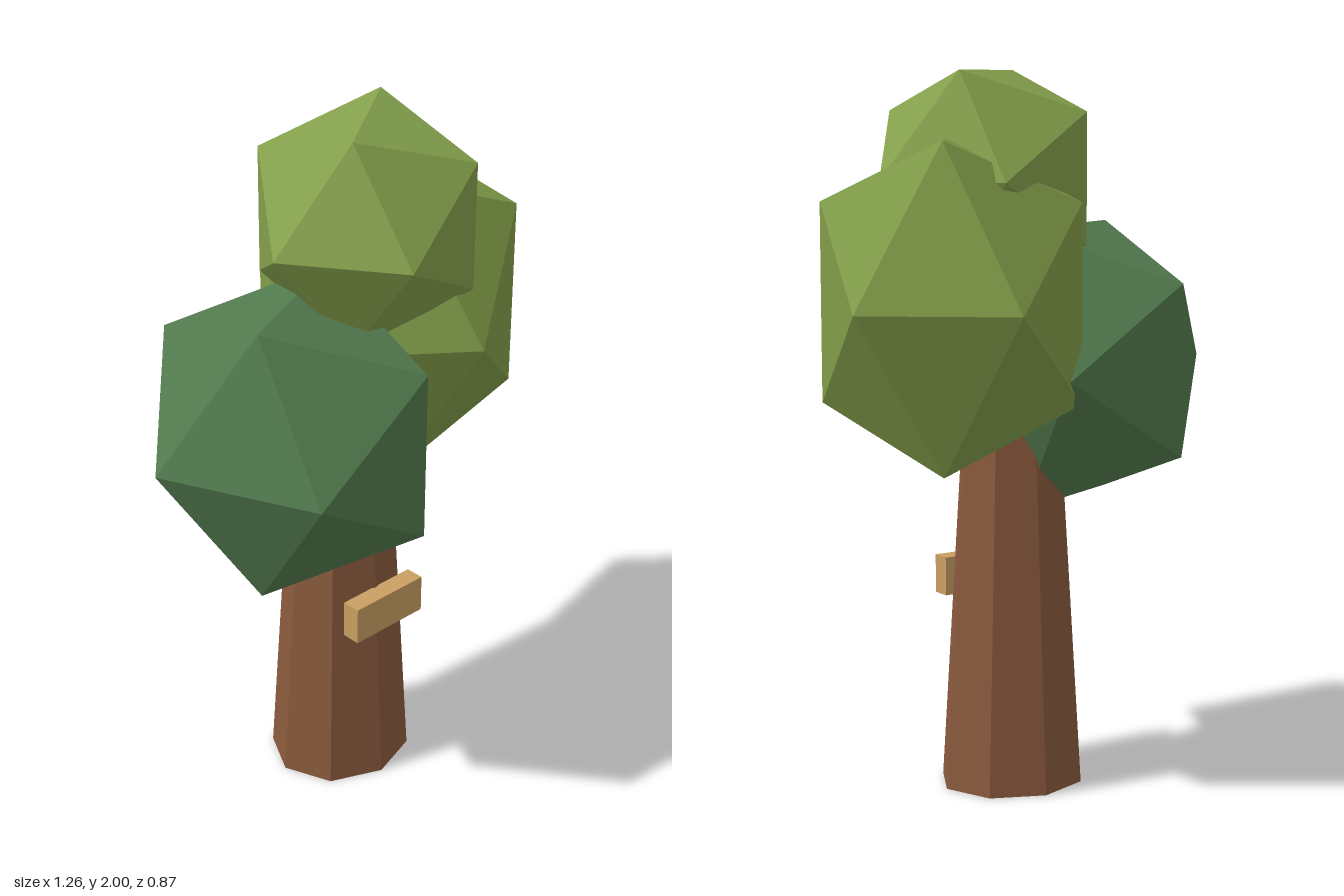
import * as THREE from 'three';

const paint = (name, color) => {
  const m = new THREE.MeshStandardMaterial({ color, flatShading: true });
  m.name = name;
  return m;
};

export function createModel() {
  const tree = new THREE.Group();
  tree.name = 'tree';

  const bark = paint('bark brown', 0x8a5a3d);
  const plank = paint('plank tan', 0xc9a063);
  const darkGreen = paint('dark green', 0x527a4e);
  const olive = paint('olive green', 0x819c49);
  const lightOlive = paint('light olive green', 0x84a04c);

  const add = (name, geometry, material, position, turn = 0, scale = [1, 1, 1]) => {
    const mesh = new THREE.Mesh(geometry, material);
    mesh.name = name;
    mesh.position.set(...position);
    mesh.rotation.y = turn;
    mesh.scale.set(...scale);
    tree.add(mesh);
  };

  // Tapered eight-sided trunk, its top hidden in the leaves
  add('trunk', new THREE.CylinderGeometry(0.128, 0.2, 1.2, 8), bark,
    [0.015, 0.6, 0.0225], -0.05, [1.055, 1, 0.955]);

  // Small board fixed to the front of the trunk
  add('signBoard', new THREE.BoxGeometry(0.25, 0.11, 0.055), plank, [0.015, 0.575, 0.2]);

  // Leaf clumps: stretched icosahedra, each turned about the vertical
  const leaf = new THREE.IcosahedronGeometry(1, 0);
  add('lowerLeaves', leaf, darkGreen, [-0.2025, 1.178, 0.0725], 0.43, [0.427, 0.461, 0.442]);
  add('sideLeaves', leaf, olive, [0.2475, 1.38, -0.0375], 0.92, [0.399, 0.517, 0.414]);
  add('topLeaves', leaf, lightOlive, [0.07, 1.71, 0.06], 0.625, [0.375, 0.341, 0.341]);

  return tree;
}
